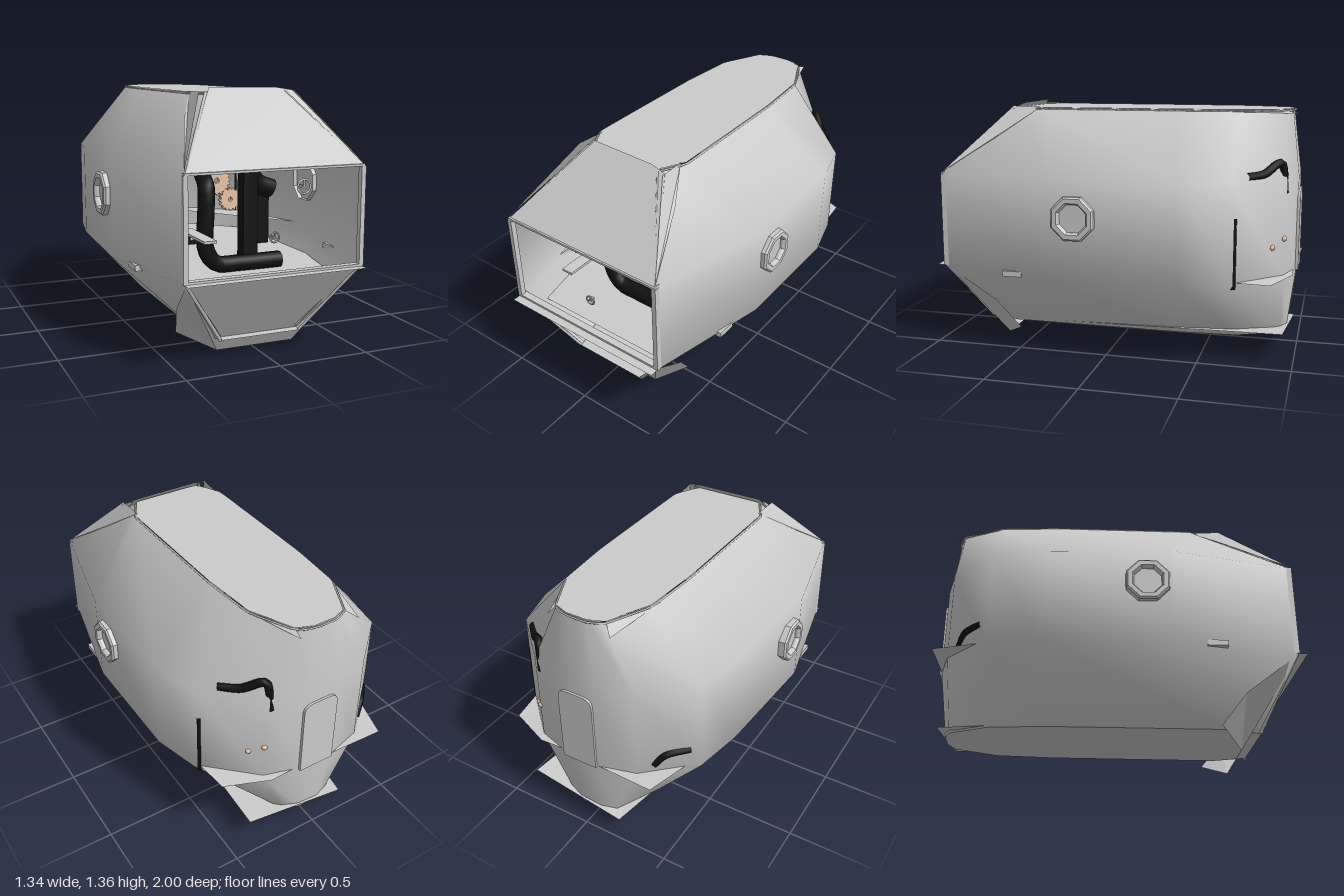
import * as THREE from 'three';

const GREY = 0xcccccc, BLACK = 0x111111, COPPER = 0xedc6aa;

export function createModel() {
  const root = new THREE.Group();

  function part(name, geo, pos = [0, 0, 0], color = GREY, flat = false) {
    const mat = new THREE.MeshStandardMaterial({ color, side: THREE.DoubleSide, flatShading: flat });
    const mesh = new THREE.Mesh(geo, mat);
    mesh.name = name;
    mesh.position.set(...pos);
    root.add(mesh);
    return mesh;
  }
  const box = (name, size, pos, color) => part(name, new THREE.BoxGeometry(...size), pos, color);

  // Flat or folded sheet made of one fan of corners
  function sheet(name, pts) {
    const geo = new THREE.BufferGeometry();
    geo.setAttribute('position', new THREE.Float32BufferAttribute(pts.flat(), 3));
    const idx = [];
    for (let i = 1; i < pts.length - 1; i++) idx.push(0, i, i + 1);
    geo.setIndex(idx);
    return part(name, geo, [0, 0, 0], GREY, true);
  }

  // Half outlines [x, z] from the front corner to the middle of the back
  const middle = [[0.49, 0.95], [0.64, 0.27], [0.635, -0.42], [0.565, -0.68], [0.3, -0.93], [0.1, -0.985], [0, -0.985]];
  const middleRight = [[0.49, 0.95], [0.64, 0.27], [0.6, -0.42], [0.55, -0.7], [0.3, -0.93], [0.1, -0.985], [0, -0.985]];
  const roof = [[0.2, 0.57], [0.28, 0.42], [0.275, -0.35], [0.25, -0.68], [0.14, -0.91], [0.06, -0.94], [0, -0.94]];
  const base = [[0.22, 0.78], [0.28, 0.6], [0.275, -0.35], [0.25, -0.68], [0.14, -0.91], [0.06, -0.94], [0, -0.94]];
  const full = (half, other = half) => [...half, ...other.slice(0, -1).reverse().map(([x, z]) => [-x, z])];
  const waist = full(middle, middleRight), top = full(roof), bottom = full(base);

  // Shell lofted through horizontal rings, open at the front
  function shell(name, scale) {
    const rings = [[0.09, bottom], [0.45, waist], [0.97, waist], [1.33, top]];
    const pos = [], idx = [], n = waist.length;
    rings.forEach(([y, ring]) => ring.forEach(([x, z]) =>
      pos.push(x * scale, 0.71 + (y - 0.71) * scale, z * scale)));
    for (let r = 0; r < rings.length - 1; r++)
      for (let i = 0; i < n - 1; i++) {
        const a = r * n + i, b = a + n;
        idx.push(a, b, a + 1, a + 1, b, b + 1);
      }
    const geo = new THREE.BufferGeometry();
    geo.setAttribute('position', new THREE.Float32BufferAttribute(pos, 3));
    geo.setIndex(idx);
    geo.computeVertexNormals();
    part(name, geo);
  }
  shell('hull', 1);
  shell('innerLining', 0.975);

  // Roof, belly and sunken floor plates
  const level = (ring, y, s = 1) => ring.map(([x, z]) => [x * s, y, z * s]);
  sheet('roofPlate', level(top, 1.333));
  sheet('bellyPlate', level(bottom, 0.09));
  sheet('floor', level(waist, 0.37, 0.86));
  sheet('frontSill', [[-0.49, 0.45, 0.91], [-0.49, 0.45, 1], [0.49, 0.45, 1], [0.49, 0.45, 0.91]]);

  // Raised seam around the roof
  const seam = new THREE.CatmullRomCurve3(level(top, 1.325, 1.01).map(p => new THREE.Vector3(...p)), true, 'catmullrom', 0.05);
  part('roofSeam', new THREE.TubeGeometry(seam, 80, 0.006, 4, true));

  // Sloping front panels above and below the window
  sheet('browPanel', [[-0.49, 0.97, 0.955], [0.49, 0.97, 0.955], [0.27, 1.34, 0.58], [0.18, 1.355, 0.565], [-0.2, 1.36, 0.56]]);
  sheet('chinPanel', [[-0.48, 0.45, 0.95], [-0.2, 0, 0.67], [0.24, 0, 0.67], [0.48, 0.45, 0.95]]);
  for (const s of [1, -1]) {
    const tongue = s > 0 ? 0.24 : -0.2;
    sheet('chinFlange', [[tongue, 0, 0.67], [s * 0.38, 0.08, 0.54], [s * 0.425, 0.245, 0.67], [s * 0.48, 0.45, 0.95]]);
    sheet('browFlange', [[s * 0.49, 0.98, 0.95], [s * 0.27, 1.34, 0.6], [s * 0.26, 1.335, 0.44], [s * 0.36, 1.2, 0.62]]);
    // Raised ribs along the sloping corners
    for (const [y0, y1, z1] of [[0.97, 1.335, 0.58], [0.45, 0.09, 0.775]]) {
      const line = new THREE.LineCurve3(new THREE.Vector3(s * 0.48, y0, 0.945), new THREE.Vector3(s * 0.225, y1, z1));
      part('cornerRib', new THREE.TubeGeometry(line, 1, 0.009, 4, false));
    }
    box('windowPost', [0.025, 0.52, 0.03], [s * 0.483, 0.71, 0.94]);
    box('sideBracket', [0.045, 0.03, 0.11], [s * 0.58, 0.45, 0.5]);

    // Eight-sided porthole with a stepped ring
    const profile = [[0.08, 0], [0.08, 0.03], [0.09, 0.045], [0.115, 0.045], [0.125, 0.035], [0.125, -0.03]]
      .map(p => new THREE.Vector2(...p));
    const ring = part('porthole', new THREE.LatheGeometry(profile, 8, Math.PI / 8), [s * 0.627, 0.78, 0.135], GREY, true);
    ring.rotation.z = -s * Math.PI / 2;
    const glass = part('portholePane', new THREE.CircleGeometry(0.085, 8, Math.PI / 8), [s * 0.643, 0.78, 0.135]);
    glass.rotation.y = s * Math.PI / 2;
  }
  for (const y of [0.457, 0.974]) box('windowRail', [0.98, 0.012, 0.04], [0, y, 0.935]);

  // Pointed plate overlaps around the stern
  sheet('waistFlange', [[0.63, 0.5, 0], [0.52, 0.455, -0.88], [0.28, 0.46, -0.98], [0.1, 0.46, -0.97]]);
  sheet('waistFlange', [[-0.59, 0.47, -0.4], [-0.42, 0.46, -0.995], [-0.1, 0.46, -0.985]]);
  sheet('roofFlange', [[0.14, 1.33, -0.9], [0.15, 1.31, -0.97], [0.27, 1.325, -0.62]]);
  sheet('roofFlange', [[-0.14, 1.33, -0.9], [-0.2, 1.29, -0.96], [-0.27, 1.325, -0.62]]);
  sheet('bellyFlange', [[0.28, 0.1, 0.6], [0.38, 0.155, -0.94], [-0.2, 0.1, -0.97], [-0.25, 0.1, -0.66]]);

  // Stern door, rounded at the top and seen inside and outside
  const door = new THREE.Shape();
  door.moveTo(-0.09, 0.45).lineTo(0.115, 0.45).lineTo(0.115, 0.84);
  door.quadraticCurveTo(0.115, 0.895, 0.06, 0.895).lineTo(-0.035, 0.895);
  door.quadraticCurveTo(-0.09, 0.895, -0.09, 0.84).lineTo(-0.09, 0.45);
  part('sternDoor', new THREE.ExtrudeGeometry(door, { depth: 0.065, bevelEnabled: false }), [0, 0, -0.997]);
  part('doorWindowRing', new THREE.TorusGeometry(0.052, 0.012, 6, 8), [0.01, 0.78, -0.925], GREY, true);

  // Spoked hand wheels
  function wheel(x, y, z, r) {
    part('handWheel', new THREE.TorusGeometry(r, r * 0.16, 6, 16), [x, y, z]);
    for (let i = 0; i < 3; i++) {
      const a = Math.PI / 2 + i * Math.PI * 2 / 3;
      const spoke = box('wheelSpoke', [r, r * 0.2, r * 0.2], [x + Math.cos(a) * r / 2, y + Math.sin(a) * r / 2, z]);
      spoke.rotation.z = a;
    }
    box('wheelHub', [r * 0.4, r * 0.4, r], [x, y, z - r / 2]);
  }
  wheel(0.01, 0.63, 0.9, 0.026);
  wheel(0.4, 0.805, 0.5, 0.04);

  // Meshing copper gears
  function gear(x, y, r, teeth) {
    const shape = new THREE.Shape();
    for (let i = 0; i < teeth * 4; i++) {
      const a = i * Math.PI / (teeth * 2), q = i % 4 < 2 ? r : r * 0.85;
      shape[i ? 'lineTo' : 'moveTo'](Math.cos(a) * q, Math.sin(a) * q);
    }
    const hole = new THREE.Path();
    hole.absarc(0, 0, r * 0.18, 0, Math.PI * 2, true);
    shape.holes.push(hole);
    part('gear', new THREE.ExtrudeGeometry(shape, { depth: 0.03, bevelEnabled: false }), [x, y, -0.3], COPPER);
  }
  gear(0.305, 0.62, 0.075, 16);
  gear(0.21, 0.745, 0.095, 20);

  // Black pipes and pillars in the cabin
  function pipe(pts, r) {
    const curve = new THREE.CatmullRomCurve3(pts.map(p => new THREE.Vector3(...p)));
    part('pipe', new THREE.TubeGeometry(curve, 24, r, 10, false), [0, 0, 0], BLACK);
  }
  pipe([[0.25, 0.41, 0.5], [0, 0.41, 0.5], [-0.13, 0.42, 0.5], [-0.19, 0.5, 0.5], [-0.19, 0.7, 0.5], [-0.18, 0.83, 0.48], [-0.16, 0.88, 0.38]], 0.046);
  pipe([[0.27, 1.05, 0], [0.29, 0.9, 0], [0.34, 0.77, 0], [0.45, 0.72, 0]], 0.062);
  pipe([[-0.36, 1.08, 0.5], [-0.44, 0.95, 0.5], [-0.475, 0.75, 0.5], [-0.46, 0.5, 0.5]], 0.025);
  box('pillar', [0.09, 0.9, 0.08], [0.175, 0.81, 0.25], BLACK);
  box('pillar', [0.1, 0.36, 0.08], [0.42, 0.55, -0.1], BLACK);

  // Pipes against the stern walls, partly breaking through
  pipe([[0.54, 0.43, -0.69], [0.54, 0.62, -0.69], [0.54, 0.8, -0.69]], 0.014);
  pipe([[0.46, 1.0, -0.74], [0.38, 1.01, -0.82], [0.29, 1.06, -0.9], [0.27, 0.9, -0.92]], 0.022);
  pipe([[-0.36, 0.5, -0.86], [-0.41, 0.56, -0.825], [-0.5, 0.57, -0.73]], 0.022);

  // Control lever, its mount and the narrow shelf above it
  box('leverArm', [0.2, 0.04, 0.04], [-0.29, 0.56, 0.5], BLACK);
  box('leverMount', [0.08, 0.1, 0.12], [-0.43, 0.55, 0.4], BLACK);
  box('shelfStem', [0.02, 0.04, 0.02], [-0.28, 0.585, 0.52]);
  box('shelf', [0.07, 0.014, 0.35], [-0.28, 0.602, 0.6]);

  // Copper bolts at the stern
  for (const [x, y, z] of [[0.3, 0.66, -0.925], [0.36, 0.62, -0.87]])
    part('sternBolt', new THREE.SphereGeometry(0.016, 8, 6), [x, y, z], COPPER);

  return root;
}
